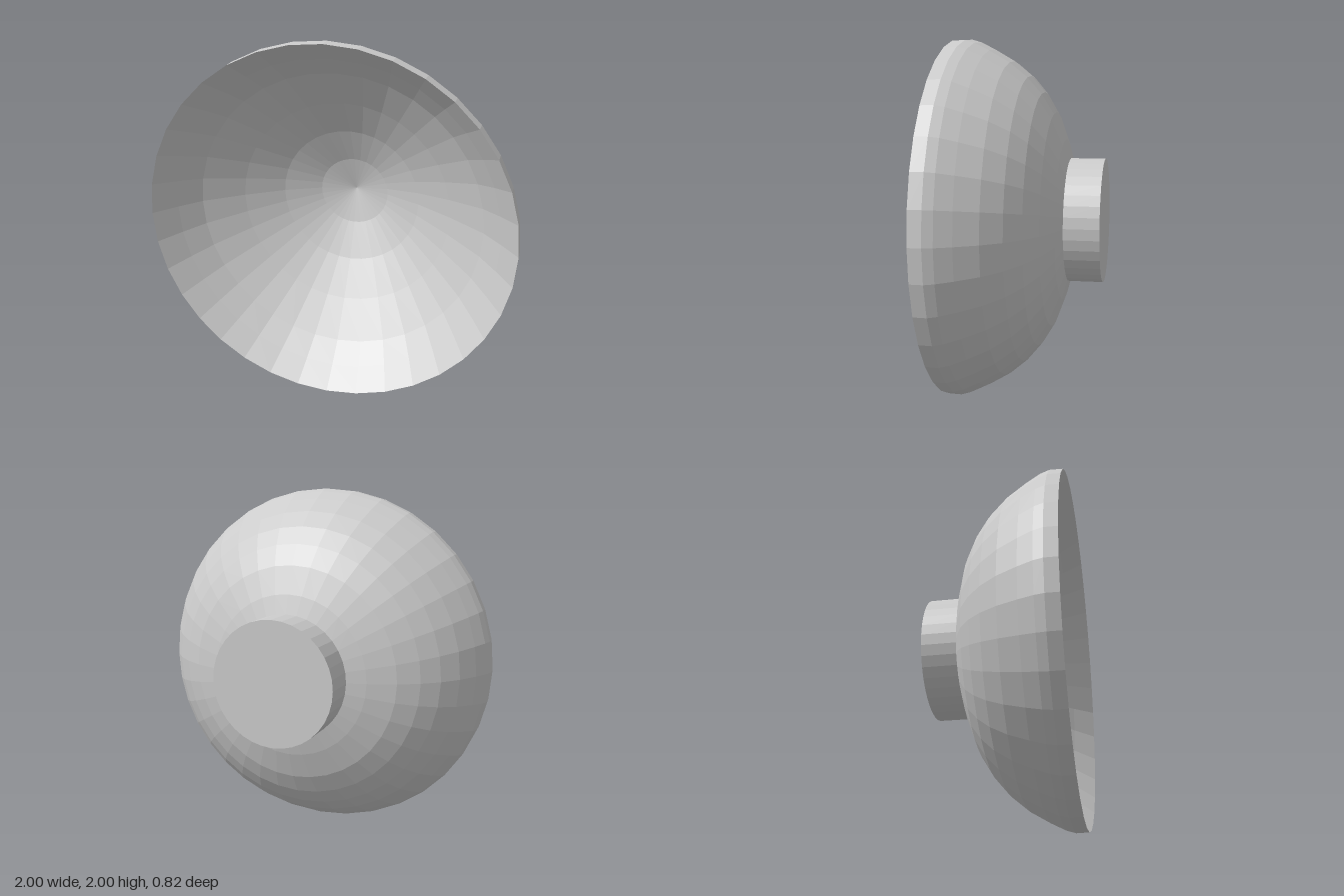
import * as THREE from 'three';

const SIDES = 36;

// Faceted part turned about the z axis from [radius, z] points
function turned(name, points, material) {
  const profile = points.map(([r, z]) => new THREE.Vector2(r, z));
  const geometry = new THREE.LatheGeometry(profile, SIDES);
  geometry.rotateX(Math.PI / 2);
  const mesh = new THREE.Mesh(geometry, material);
  mesh.name = name;
  mesh.position.y = 1;
  return mesh;
}

export function createModel() {
  const group = new THREE.Group();
  group.name = 'bowl';
  const material = new THREE.MeshStandardMaterial({ color: 0xcccccc, flatShading: true });

  // Outer wall, running from the foot to the rim
  const outer = [
    [0.34, -0.22], [0.45, -0.19], [0.6, -0.135], [0.71, -0.07], [0.8, 0.005],
    [0.88, 0.1], [0.945, 0.21], [0.985, 0.29], [1, 0.34], [0.998, 0.41],
  ];
  // Inner wall, a gently curved funnel from the sharp rim to the hollow's centre
  const inner = [
    [0.9, 0.29], [0.8, 0.18], [0.6, 0.03], [0.4, -0.1], [0.2, -0.195], [0, -0.25],
  ];
  group.add(turned('bowlShell', [...outer, ...inner], material));

  // Short solid foot behind the bowl
  group.add(turned('foot', [[0, -0.41], [0.346, -0.41], [0.346, -0.218]], material));

  return group;
}
